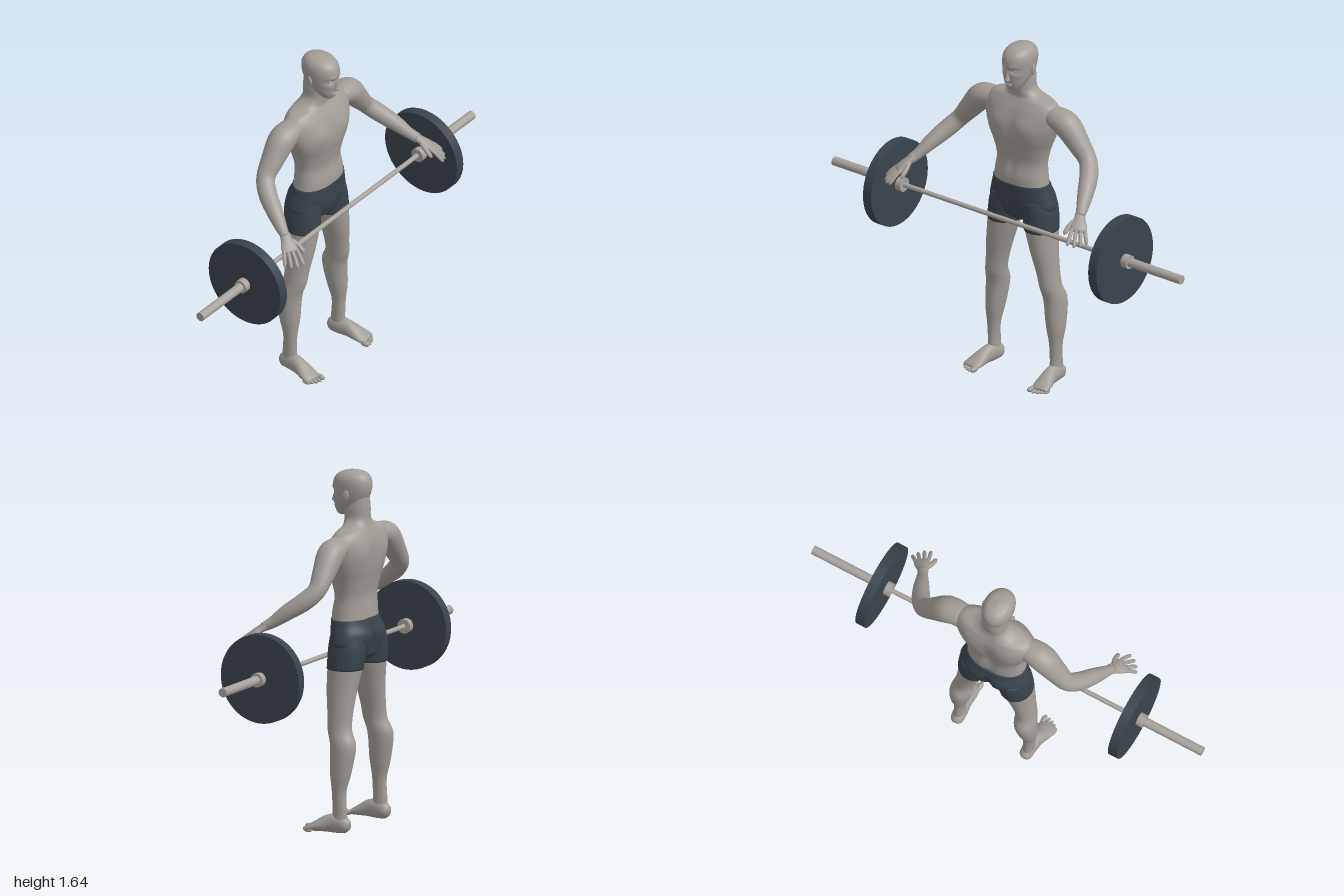
import * as THREE from 'three';

const V = (x, y, z) => new THREE.Vector3(x, y, z);
const bell = (d, w) => Math.exp(-(d * d) / (w * w));

// Smooth closed surface through elliptical sections [x, y, z, halfWidth, halfDepth].
// With ref, sections turn to follow the path; without it they stay horizontal.
function loft(rows, { ref = null, steps = 5, sides = 28, power = 1, rule = null } = {}) {
  const path = new THREE.CatmullRomCurve3(rows.map(r => V(r[0], r[1], r[2])), false, 'catmullrom');
  const size = new THREE.CatmullRomCurve3(rows.map(r => V(r[3], r[4], 0)), false, 'catmullrom');
  const n = (rows.length - 1) * steps;
  const up = Math.sign(rows[rows.length - 1][1] - rows[0][1]);
  const pos = [], idx = [];
  const round = c => Math.sign(c) * Math.pow(Math.abs(c), power);
  const add = p => { if (rule) rule(p); pos.push(p.x, p.y, p.z); };
  for (let i = 0; i <= n; i++) {
    const c = path.getPoint(i / n), s = size.getPoint(i / n);
    const t = ref ? path.getTangent(i / n) : V(0, up, 0);
    const u = (ref || V(1, 0, 0)).clone();
    u.addScaledVector(t, -u.dot(t)).normalize();
    const v = t.clone().cross(u);
    for (let j = 0; j < sides; j++) {
      const a = (j / sides) * Math.PI * 2;
      add(c.clone()
        .addScaledVector(u, Math.max(s.x, 0.001) * round(Math.cos(a)))
        .addScaledVector(v, Math.max(s.y, 0.001) * round(Math.sin(a))));
    }
  }
  for (let i = 0; i < n; i++) {
    for (let j = 0; j < sides; j++) {
      const k = (j + 1) % sides, a = i * sides, b = a + sides;
      idx.push(a + j, a + k, b + k, a + j, b + k, b + j);
    }
  }
  // end caps
  add(path.getPoint(0));
  add(path.getPoint(1));
  const c0 = (n + 1) * sides;
  for (let j = 0; j < sides; j++) {
    const k = (j + 1) % sides;
    idx.push(c0, k, j, c0 + 1, n * sides + j, n * sides + k);
  }
  const g = new THREE.BufferGeometry();
  g.setAttribute('position', new THREE.Float32BufferAttribute(pos, 3));
  g.setIndex(idx);
  g.computeVertexNormals();
  return g;
}

// Chest, belly and back relief
function torsoRelief(p) {
  const ax = Math.abs(p.x);
  if (p.z > -0.1) {
    p.z += 0.013 * bell(ax - 0.08, 0.06) * bell(p.y - 1.26, 0.05);
    p.z -= 0.006 * bell(p.x, 0.014) * bell(p.y - 1.17, 0.15);
    p.z += 0.004 * bell(ax - 0.035, 0.025) * bell(p.y - 1.08, 0.09);
  } else {
    p.z += 0.017 * bell(p.x, 0.03) * bell(p.y - 1.15, 0.18);
    p.z -= 0.01 * bell(ax - 0.1, 0.05) * bell(p.y - 1.28, 0.07);
  }
}

function pelvisRelief(p) {
  if (p.z < -0.12) {
    p.z += 0.025 * bell(p.x, 0.018) * bell(p.y - 0.85, 0.07);
    p.z -= 0.008 * bell(Math.abs(p.x) - 0.075, 0.05) * bell(p.y - 0.88, 0.05);
  }
}

// Brow, eye sockets and cheeks
function faceRelief(p) {
  if (p.z < -0.05) return;
  const ax = Math.abs(p.x);
  p.z += 0.005 * bell(ax - 0.022, 0.022) * bell(p.y - 1.555, 0.009);
  p.z -= 0.011 * bell(ax - 0.027, 0.014) * bell(p.y - 1.537, 0.01);
  p.z += 0.004 * bell(ax - 0.04, 0.015) * bell(p.y - 1.512, 0.014);
}

const LEG = [
  [0.178, 0.04, -0.125, 0.028, 0.04], [0.178, 0.1, -0.125, 0.025, 0.035],
  [0.178, 0.19, -0.122, 0.03, 0.034], [0.174, 0.28, -0.128, 0.044, 0.05],
  [0.165, 0.4, -0.135, 0.051, 0.061], [0.156, 0.47, -0.113, 0.047, 0.058],
  [0.145, 0.54, -0.108, 0.05, 0.06], [0.125, 0.645, -0.105, 0.062, 0.071],
  [0.105, 0.75, -0.11, 0.075, 0.081], [0.093, 0.84, -0.115, 0.078, 0.085]];
const ARM = [
  [0.14, 1.315, -0.115, 0.045, 0.05], [0.2, 1.312, -0.116, 0.052, 0.06],
  [0.25, 1.29, -0.118, 0.06, 0.063], [0.31, 1.222, -0.12, 0.051, 0.053],
  [0.365, 1.155, -0.117, 0.041, 0.043], [0.405, 1.105, -0.075, 0.041, 0.043],
  [0.44, 1.057, -0.01, 0.036, 0.038], [0.468, 1.01, 0.05, 0.026, 0.028],
  [0.487, 0.985, 0.09, 0.023, 0.019]];

export function createModel() {
  const model = new THREE.Group();
  const mat = (name, color) => Object.assign(new THREE.MeshStandardMaterial({ color }), { name });
  const skin = mat('skin', 0xa39d97);
  const dark = mat('dark fabric and rubber', 0x39434c);
  const steel = mat('steel', 0xa8a29c);

  const group = (name, parent = model) => {
    const g = new THREE.Group();
    g.name = name;
    parent.add(g);
    return g;
  };
  const put = (parent, name, geometry, material) => {
    const m = new THREE.Mesh(geometry, material);
    m.name = name;
    parent.add(m);
    return m;
  };
  const blob = (parent, name, c, r, material = skin) => {
    const m = put(parent, name, new THREE.SphereGeometry(1, 16, 12), material);
    m.position.set(...c);
    m.scale.set(...r);
    return m;
  };

  // Torso and neck
  const body = group('body');
  put(body, 'torso', loft([
    [0, 0.94, -0.1, 0.145, 0.083], [0, 1.0, -0.1, 0.136, 0.083],
    [0, 1.07, -0.105, 0.131, 0.076], [0, 1.14, -0.105, 0.147, 0.088],
    [0, 1.2, -0.105, 0.171, 0.099], [0, 1.27, -0.11, 0.196, 0.096],
    [0, 1.33, -0.116, 0.2, 0.085], [0, 1.37, -0.12, 0.165, 0.068],
    [0, 1.39, -0.12, 0.098, 0.06], [0, 1.42, -0.114, 0.06, 0.058],
    [0, 1.47, -0.112, 0.054, 0.06], [0, 1.52, -0.11, 0.05, 0.058]
  ], { sides: 64, steps: 7, power: 0.9, rule: torsoRelief }), skin);

  // Head
  const head = group('head', body);
  put(head, 'skull', loft([
    [0, 1.43, -0.04, 0.018, 0.018], [0, 1.442, -0.045, 0.034, 0.034],
    [0, 1.47, -0.06, 0.051, 0.058], [0, 1.5, -0.077, 0.061, 0.079],
    [0, 1.54, -0.086, 0.068, 0.09], [0, 1.58, -0.088, 0.07, 0.093],
    [0, 1.61, -0.091, 0.063, 0.081], [0, 1.63, -0.095, 0.043, 0.054],
    [0, 1.64, -0.097, 0.006, 0.008]
  ], { sides: 64, steps: 8, power: 0.95, rule: faceRelief }), skin);
  put(head, 'nose', loft([
    [0, 1.482, 0.0, 0.007, 0.006], [0, 1.49, 0.006, 0.014, 0.013],
    [0, 1.505, 0.003, 0.009, 0.012], [0, 1.53, -0.002, 0.006, 0.009],
    [0, 1.548, -0.004, 0.005, 0.006]], { sides: 16 }), skin);
  blob(head, 'upperLip', [0, 1.469, -0.004], [0.02, 0.004, 0.007]);
  blob(head, 'lowerLip', [0, 1.461, -0.007], [0.017, 0.005, 0.007]);
  blob(head, 'chin', [0, 1.444, -0.024], [0.018, 0.012, 0.013]);

  // Shorts
  const shorts = group('shorts');
  put(shorts, 'pelvis', loft([
    [0, 0.775, -0.115, 0.05, 0.05], [0, 0.8, -0.115, 0.12, 0.076],
    [0, 0.85, -0.112, 0.172, 0.09], [0, 0.9, -0.112, 0.166, 0.096],
    [0, 0.94, -0.104, 0.153, 0.09], [0, 0.967, -0.1, 0.146, 0.087]
  ], { sides: 64, power: 0.92, rule: pelvisRelief }), dark);

  for (const s of [1, -1]) {
    const side = s > 0 ? 'left' : 'right';
    const flip = rows => rows.map(([x, ...r]) => [s * x, ...r]);

    blob(head, side + 'Eye', [s * 0.027, 1.536, -0.017], [0.012, 0.008, 0.01]);
    const ear = blob(head, side + 'Ear', [s * 0.073, 1.53, -0.093], [0.007, 0.027, 0.016]);
    ear.rotation.set(-0.2, s * 0.3, 0);

    // Leg and its trouser tube
    const leg = group(side + 'Leg', body);
    put(leg, 'leg', loft(flip(LEG), { steps: 6 }), skin);
    put(shorts, side + 'ShortsLeg', loft(flip([
      [0.105, 0.745, -0.11, 0.078, 0.085], [0.1, 0.79, -0.113, 0.08, 0.087],
      [0.094, 0.84, -0.115, 0.08, 0.088], [0.085, 0.89, -0.115, 0.075, 0.085]])), dark);

    // Foot and toes
    put(leg, 'foot', loft(flip([
      [0.175, 0.03, -0.175, 0.012, 0.014], [0.176, 0.035, -0.16, 0.028, 0.033],
      [0.178, 0.045, -0.12, 0.032, 0.044], [0.184, 0.042, -0.07, 0.033, 0.04],
      [0.192, 0.028, -0.02, 0.042, 0.026], [0.198, 0.018, 0.015, 0.043, 0.016],
      [0.2, 0.014, 0.03, 0.037, 0.01]]), { ref: V(1, 0, 0) }), skin);
    [0.164, 0.184, 0.202, 0.218, 0.232].forEach((x, i) => {
      const w = i ? 0.0085 : 0.013;
      blob(leg, 'toe', [s * x, w + 0.001, 0.038 - i * i * 0.0018], [w, w, 0.025 - i * 0.001]);
    });

    // Arm
    const arm = group(side + 'Arm', body);
    put(arm, 'arm', loft(flip(ARM), { ref: V(s, 1, 0), steps: 6 }), skin);

    // Hand: d runs to the fingertips, u runs across to the little finger
    const d = V(s * 0.44, -0.55, 0.71).normalize(), u = V(s * 0.82, -0.05, -0.57).normalize();
    const wrist = V(s * 0.487, 0.985, 0.09);
    const at = (along, across, drop = 0) => {
      const p = wrist.clone().addScaledVector(d, along).addScaledVector(u, across);
      return [p.x, p.y - drop, p.z];
    };
    put(arm, 'palm', loft([
      [...at(-0.015, 0), 0.024, 0.019], [...at(0.015, 0), 0.027, 0.018],
      [...at(0.045, 0), 0.036, 0.016], [...at(0.072, 0), 0.036, 0.012],
      [...at(0.08, 0), 0.026, 0.006]], { ref: u }), skin);
    const finger = (pts, r) => put(arm, 'finger', loft(
      pts.map((p, i) => [...p, r * [1, 1, 0.9, 0.25][i], r * [1, 1, 0.9, 0.25][i]]),
      { ref: u, sides: 12, steps: 4 }), skin);
    [-0.028, -0.009, 0.01, 0.027].forEach((o, i) => {
      const len = [0.07, 0.078, 0.072, 0.056][i];
      finger([at(0.062, o), at(0.07 + len * 0.4, o * 1.25, 0.002),
        at(0.07 + len * 0.88, o * 1.5, 0.012), at(0.07 + len, o * 1.55, 0.016)], 0.009);
    });
    finger([at(0.015, -0.015), at(0.04, -0.042, 0.006),
      at(0.07, -0.06, 0.014), at(0.08, -0.064, 0.017)], 0.011);
  }

  // Barbell
  const barbell = group('barbell');
  barbell.position.y = 0.79;
  const rod = (name, x0, x1, r, material, sides = 32) => {
    const g = new THREE.CylinderGeometry(r, r, Math.abs(x1 - x0), sides).rotateZ(Math.PI / 2);
    put(barbell, name, g, material).position.x = (x0 + x1) / 2;
  };
  rod('bar', -0.62, 0.62, 0.011, steel);
  for (const s of [1, -1]) {
    rod('sleeve', s * 0.6, s * 1, 0.021, steel);
    rod('innerCollar', s * 0.596, s * 0.626, 0.033, steel);
    rod('outerCollar', s * 0.67, s * 0.704, 0.032, steel);
    rod('plate', s * 0.625, s * 0.672, 0.204, dark, 64);
  }
  return model;
}
